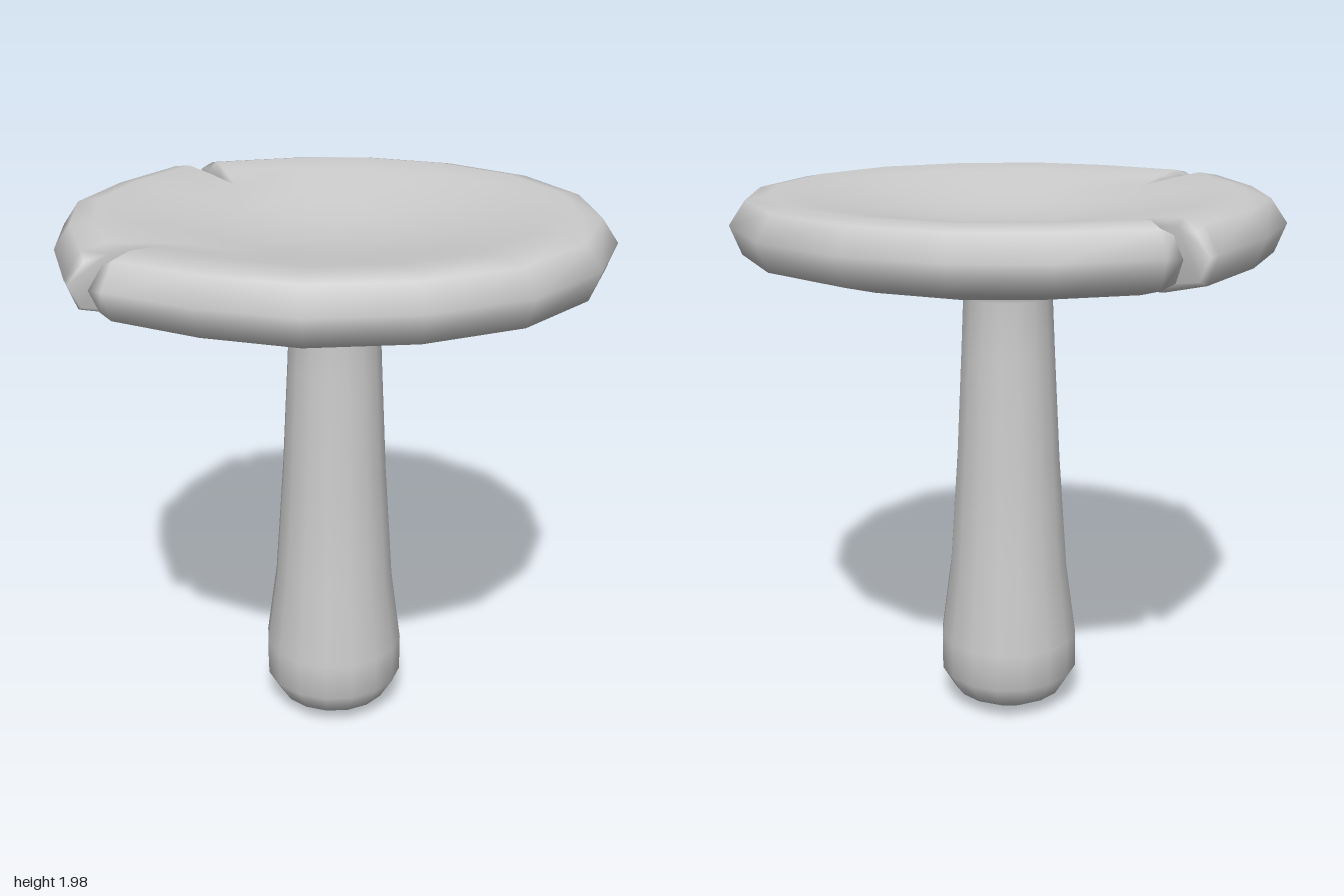
import * as THREE from 'three';
import { mergeVertices } from 'three/addons/utils/BufferGeometryUtils.js';

const AXIS = new THREE.Vector2(0.03, -0.03); // stem axis in (x, z)
const TIP = 0.6; // fraction of the radius where the splits begin

// Cap profile: [fraction of radius, height], from dished top centre round to the underside
const PROFILE = [
  [0, 1.875], [0.2, 1.882], [0.4, 1.907], [TIP, 1.94], [0.74, 1.963], [0.86, 1.977],
  [0.94, 1.963], [1, 1.88], [0.96, 1.78], [0.8, 1.738], [TIP, 1.712],
  [0.4, 1.69], [0.24, 1.674], [0.15, 1.66], [0.1, 1.64],
];
const FIRST = 3, LAST = 10; // profile span that lies along a split

// Tips of the two splits, and the rim outline of the two pieces between them
const SIDE_TIP = new THREE.Vector2(-0.59, -0.035);
const FRONT_TIP = new THREE.Vector2(0.03, 0.58);
const SECTORS = [
  {
    start: SIDE_TIP, end: FRONT_TIP,
    rim: [[-0.975, -0.11], [-0.96, -0.16], [-0.83, -0.47], [-0.64, -0.73], [-0.34, -0.92], [0.03, -1],
      [0.4, -0.92], [0.71, -0.71], [0.92, -0.4], [1, -0.03], [0.92, 0.33], [0.73, 0.64], [0.46, 0.83],
      [0.16, 0.96], [0.11, 0.975]],
  },
  {
    start: FRONT_TIP, end: SIDE_TIP,
    rim: [[0.025, 1], [-0.025, 0.985], [-0.37, 0.84], [-0.66, 0.65], [-0.85, 0.36], [-0.985, 0.025], [-1, -0.025]],
  },
];

function createCapGeometry() {
  const positions = [], index = [];
  const n = PROFILE.length;
  for (const { start, end, rim } of SECTORS) {
    const base = positions.length / 3;
    const count = rim.length;
    rim.forEach(([x, z], i) => {
      const outer = new THREE.Vector2(x, z);
      const tip = i < 2 ? start : i >= count - 2 ? end : AXIS.clone().lerp(outer, TIP);
      const isLip = i === 0 || i === count - 1;
      for (const [f, y] of PROFILE) {
        const p = f <= TIP
          ? AXIS.clone().lerp(tip, f / TIP)
          : tip.clone().lerp(outer, (f - TIP) / (1 - TIP));
        // Round the edges of the split by thinning its lip
        const h = isLip && f > TIP ? 1.865 + (y - 1.865) * 0.78 : y;
        positions.push(p.x, h, p.y);
      }
    });
    // Skin between neighbouring columns
    for (let i = 0; i < count - 1; i++) {
      for (let j = 0; j < n - 1; j++) {
        const a = base + i * n + j, b = a + 1, d = a + n, c = d + 1;
        if (j > 0) index.push(a, d, c);
        index.push(a, c, b);
      }
    }
    // Walls of the splits, joining top and underside
    const first = base, last = base + (count - 1) * n;
    for (let p = FIRST, q = LAST; q - p > 1; p++, q--) {
      for (const [a, b, c] of [[p, p + 1, q - 1], [p, q - 1, q]]) {
        index.push(first + a, first + b, first + c);
        index.push(last + c, last + b, last + a);
      }
    }
  }
  const geometry = new THREE.BufferGeometry();
  geometry.setAttribute('position', new THREE.Float32BufferAttribute(positions, 3));
  geometry.setIndex(index);
  const merged = mergeVertices(geometry, 1e-4);
  merged.computeVertexNormals();
  return merged;
}

function createStemGeometry() {
  // Club-shaped stem with a rounded foot, flaring into the cap
  const points = [
    [0, 0], [0.13, 0.02], [0.21, 0.065], [0.26, 0.15], [0.26, 0.29], [0.222, 0.57],
    [0.192, 1], [0.172, 1.4], [0.163, 1.6], [0.175, 1.655], [0.24, 1.683],
  ].map(([r, y]) => new THREE.Vector2(r, y));
  return new THREE.LatheGeometry(points, 16);
}

export function createModel() {
  const group = new THREE.Group();
  group.name = 'mushroom';
  const material = new THREE.MeshStandardMaterial({ color: 0xcccccc });

  const cap = new THREE.Mesh(createCapGeometry(), material);
  cap.name = 'cap';

  const stem = new THREE.Mesh(createStemGeometry(), material);
  stem.name = 'stem';
  stem.position.set(AXIS.x, 0, AXIS.y);

  group.add(cap, stem);
  return group;
}
